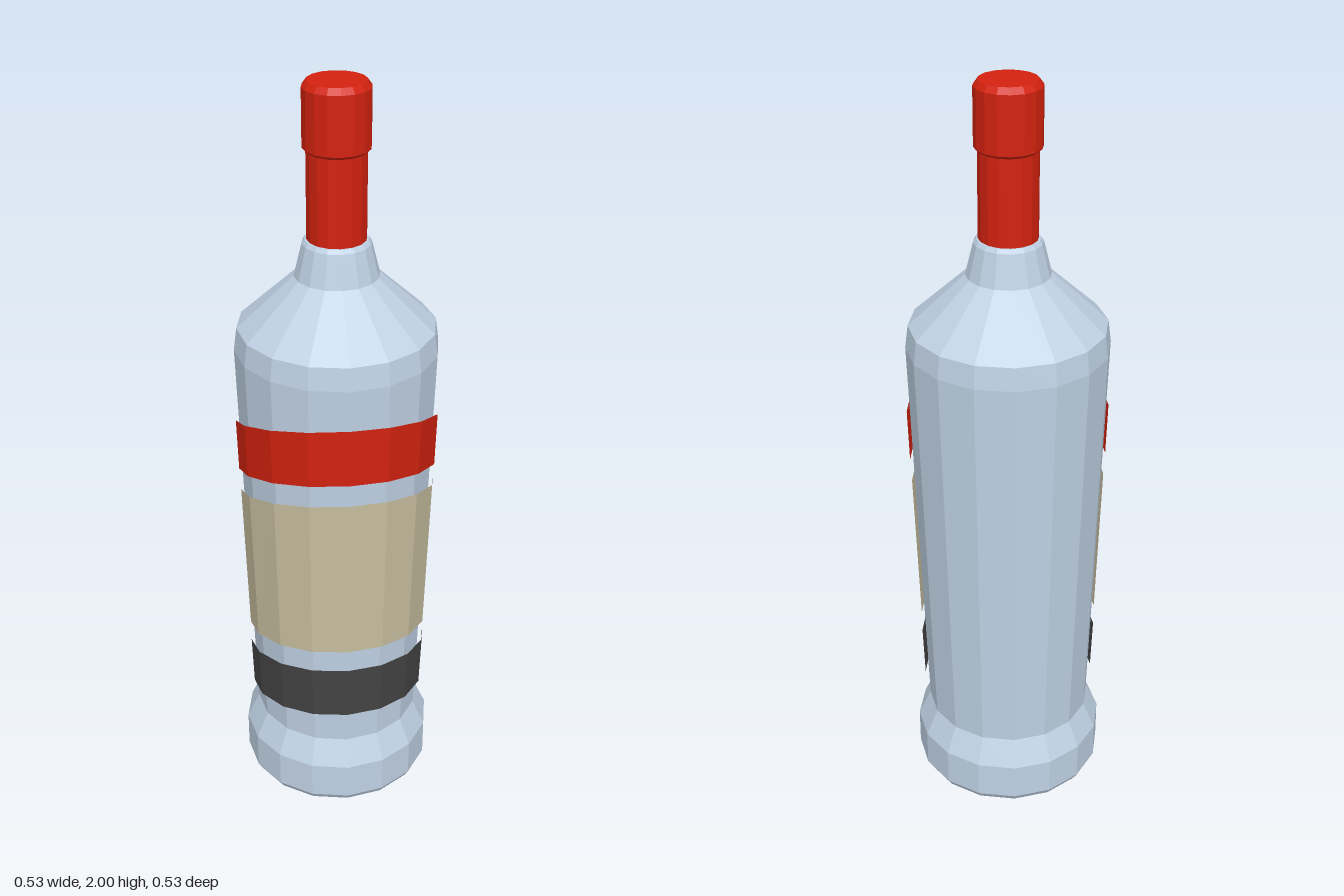
import * as THREE from 'three';

const SIDES = 16;
const CENTRE_Z = -0.003;

function material(color) {
  return new THREE.MeshStandardMaterial({ color, flatShading: true, side: THREE.DoubleSide });
}

// Faceted turned part from [radius, height] pairs
function turned(name, profile, color) {
  const points = profile.map(([r, y]) => new THREE.Vector2(r, y));
  const mesh = new THREE.Mesh(new THREE.LatheGeometry(points, SIDES), material(color));
  mesh.name = name;
  return mesh;
}

// Band wrapped round the front half; its edges drop linearly towards the back.
// Each edge is { r: radius, front: height at front, end: height at the ends }.
function wrappedLabel(name, top, bottom, color) {
  const steps = SIDES / 2;
  const geometry = new THREE.PlaneGeometry(1, 1, steps, 1);
  const pos = geometry.attributes.position;
  const ring = (i, r) => {
    const a = (i - steps / 2) * (2 * Math.PI / SIDES);
    return new THREE.Vector3(Math.sin(a) * r, 0, Math.cos(a) * r);
  };
  for (let row = 0; row < 2; row++) {
    const edge = row === 0 ? top : bottom;
    for (let i = 0; i <= steps; i++) {
      const p = ring(i, edge.r);
      // The end facets stop a little short of the sides
      if (i === 0) p.lerp(ring(1, edge.r), 0.15);
      if (i === steps) p.lerp(ring(steps - 1, edge.r), 0.15);
      const y = THREE.MathUtils.lerp(edge.end, edge.front, p.z / edge.r);
      pos.setXYZ(row * (steps + 1) + i, p.x, y, p.z);
    }
  }
  geometry.computeVertexNormals();
  const mesh = new THREE.Mesh(geometry, material(color));
  mesh.name = name;
  return mesh;
}

export function createModel() {
  const bottle = new THREE.Group();
  bottle.name = 'bottle';

  // Glass: flared foot, tapered body, sloped shoulder and short neck
  bottle.add(turned('glassBody', [
    [0, 0], [0.25, 0], [0.262, 0.02], [0.262, 0.125], [0.228, 0.2],
    [0.262, 1.32], [0.254, 1.38], [0.108, 1.515], [0.087, 1.6], [0.08, 1.61], [0, 1.61],
  ], 0xc0d2e5));

  // Neck sleeve and wider cap
  bottle.add(turned('neckSleeve', [[0.075, 1.605], [0.075, 1.84]], 0xd4220f));
  bottle.add(turned('cap', [
    [0.073, 1.83], [0.084, 1.84], [0.084, 1.985], [0.073, 2], [0, 2],
  ], 0xd4220f));

  // Labels
  bottle.add(wrappedLabel('upperLabel',
    { r: 0.268, front: 1.215, end: 1.12 }, { r: 0.264, front: 1.057, end: 0.975 }, 0xd4220f));
  bottle.add(wrappedLabel('mainLabel',
    { r: 0.261, front: 0.995, end: 0.91 }, { r: 0.248, front: 0.524, end: 0.472 }, 0xc9c0a0));
  bottle.add(wrappedLabel('lowerLabel',
    { r: 0.248, front: 0.46, end: 0.41 }, { r: 0.243, front: 0.302, end: 0.262 }, 0x444444));

  bottle.children.forEach((part) => { part.position.z = CENTRE_Z; });
  return bottle;
}
